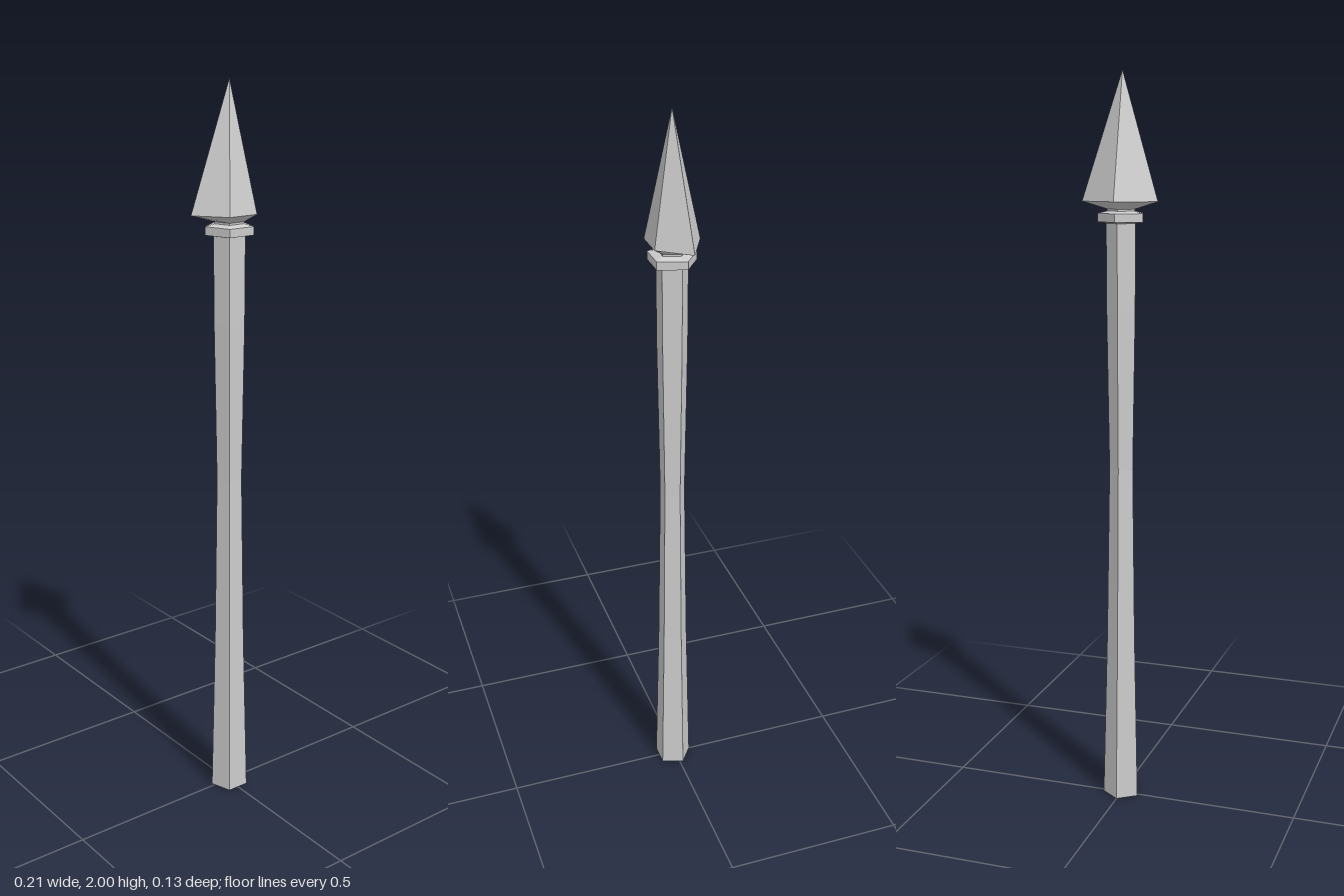
import * as THREE from 'three';

const AXIS_Z = 0.007; // the shaft axis sits slightly forward of centre

export function createModel() {
  const group = new THREE.Group();
  group.name = 'spear';
  const material = new THREE.MeshStandardMaterial({ color: 0xcccccc, flatShading: true });

  // Five-sided lathe with one corner pointing back; profile is [radius, y] from bottom to top
  function pentagonLathe(name, profile, reshape) {
    const points = profile.map(([r, y]) => new THREE.Vector2(r, y));
    let geometry = new THREE.LatheGeometry(points, 5, Math.PI);
    if (reshape) {
      const p = geometry.attributes.position;
      for (let i = 0; i < p.count; i++) {
        const [x, z] = reshape(p.getX(i), p.getY(i), p.getZ(i));
        p.setX(i, x).setZ(i, z);
      }
    }
    geometry = geometry.toNonIndexed();
    geometry.computeVertexNormals();
    const mesh = new THREE.Mesh(geometry, material);
    mesh.name = name;
    mesh.position.z = AXIS_Z;
    group.add(mesh);
  }

  // Shaft, slightly waisted in the middle
  pentagonLathe('shaft', [
    [0, 0], [0.053, 0], [0.042, 0.47], [0.035, 0.95], [0.042, 1.38], [0.043, 1.62], [0, 1.62],
  ]);

  // Collar below the head
  pentagonLathe('collar', [
    [0, 1.61], [0.043, 1.61], [0.066, 1.614], [0.066, 1.636], [0.04, 1.642], [0, 1.642],
  ]);

  // Neck and pointed head; the widest ring is flattened and narrowed at the front
  pentagonLathe('head', [
    [0, 1.635], [0.04, 1.635], [0.04, 1.647], [0.11, 1.667], [0, 2],
  ], (x, y, z) => {
    if (Math.abs(y - 1.667) > 0.001) return [x, z];
    return [z > 0.05 ? x * 0.67 : x, z * 0.67];
  });

  return group;
}
